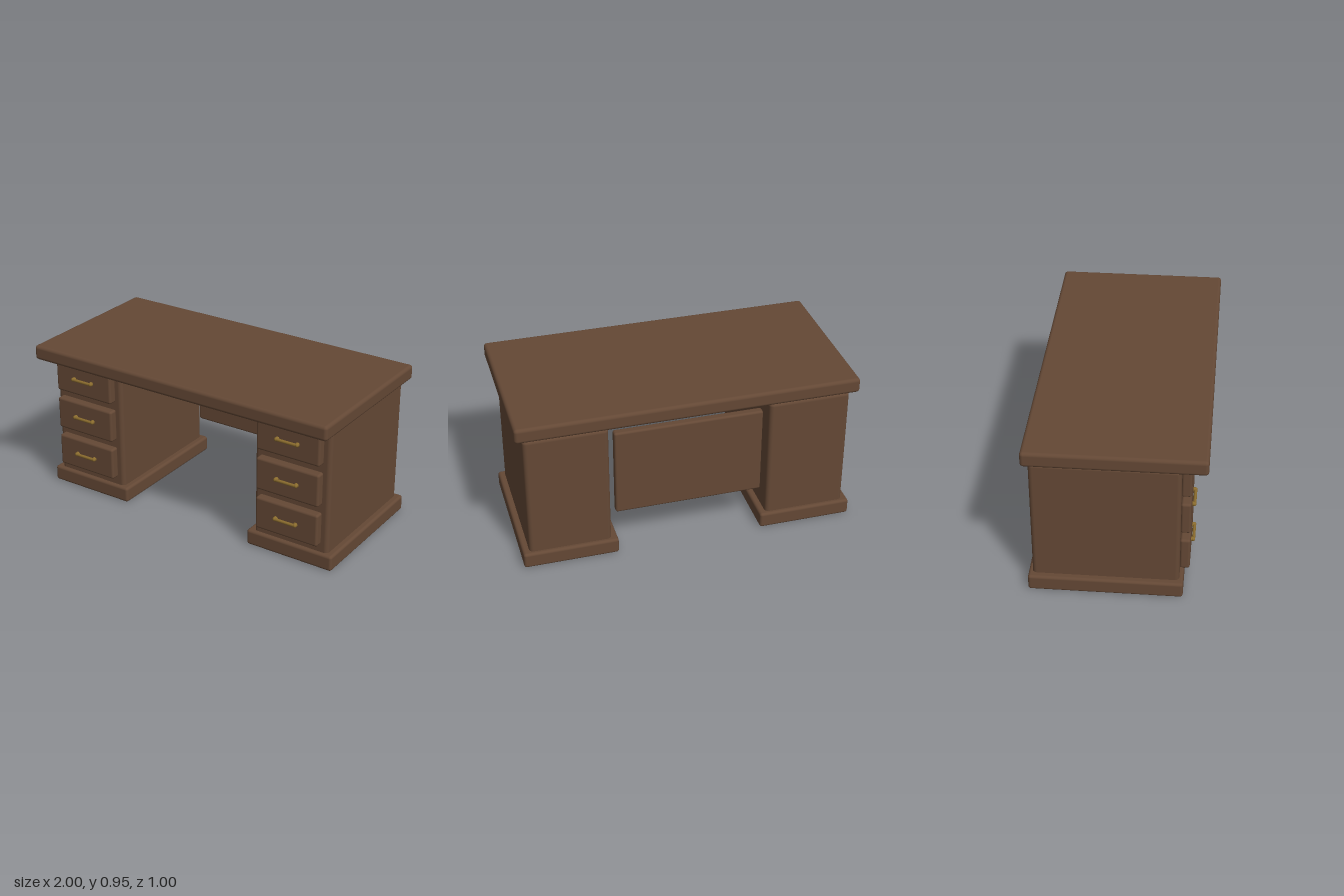
import * as THREE from 'three';
import { RoundedBoxGeometry } from 'three/addons/geometries/RoundedBoxGeometry.js';

const wood = new THREE.MeshStandardMaterial({ name: 'dark wood', color: 0x644835 });
const brass = new THREE.MeshStandardMaterial({ name: 'aged brass', color: 0x8b6c2e });

// Rounded block given by its [min, max] range on each axis
function block(name, [x0, x1], [y0, y1], [z0, z1], radius) {
  const geometry = new RoundedBoxGeometry(x1 - x0, y1 - y0, z1 - z0, 3, radius);
  const mesh = new THREE.Mesh(geometry, wood);
  mesh.name = name;
  mesh.position.set((x0 + x1) / 2, (y0 + y1) / 2, (z0 + z1) / 2);
  return mesh;
}

// Horizontal bar on two short posts, with small knobs at the ends
function createHandle() {
  const handle = new THREE.Group();
  handle.name = 'handle';
  const bar = new THREE.Mesh(new THREE.CylinderGeometry(0.009, 0.009, 0.14, 8), brass);
  bar.name = 'handleBar';
  bar.rotation.z = Math.PI / 2;
  bar.position.z = 0.014;
  handle.add(bar);
  for (const side of [-1, 1]) {
    const post = new THREE.Mesh(new THREE.CylinderGeometry(0.011, 0.014, 0.016, 10), brass);
    post.name = 'handlePost';
    post.rotation.x = Math.PI / 2;
    post.position.set(side * 0.064, 0, 0.007);
    const knob = new THREE.Mesh(new THREE.SphereGeometry(0.012, 10, 8), brass);
    knob.name = 'handleKnob';
    knob.position.set(side * 0.066, 0, 0.012);
    handle.add(post, knob);
  }
  return handle;
}

// Drawer pedestal centred on its own x axis
function createPedestal() {
  const pedestal = new THREE.Group();
  pedestal.add(
    block('plinth', [-0.28, 0.28], [0, 0.095], [-0.49, 0.38], 0.016),
    block('cabinet', [-0.242, 0.242], [0.05, 0.85], [-0.467, 0.357], 0.025),
  );
  for (const y of [0.25, 0.5, 0.75]) {
    pedestal.add(block('drawerFront', [-0.202, 0.202], [y - 0.1, y + 0.1], [0.355, 0.412], 0.014));
    const handle = createHandle();
    handle.position.set(0, y + 0.003, 0.411);
    pedestal.add(handle);
  }
  return pedestal;
}

export function createModel() {
  const desk = new THREE.Group();
  desk.name = 'desk';
  desk.add(
    block('desktop', [-1, 1], [0.86, 0.95], [-0.5, 0.5], 0.02),
    block('modestyPanel', [-0.437, 0.437], [0.26, 0.8], [-0.45, -0.4], 0.013),
  );
  for (const side of [-1, 1]) {
    const pedestal = createPedestal();
    pedestal.name = side > 0 ? 'leftPedestal' : 'rightPedestal';
    pedestal.position.x = side * 0.712;
    desk.add(pedestal);
  }
  return desk;
}
